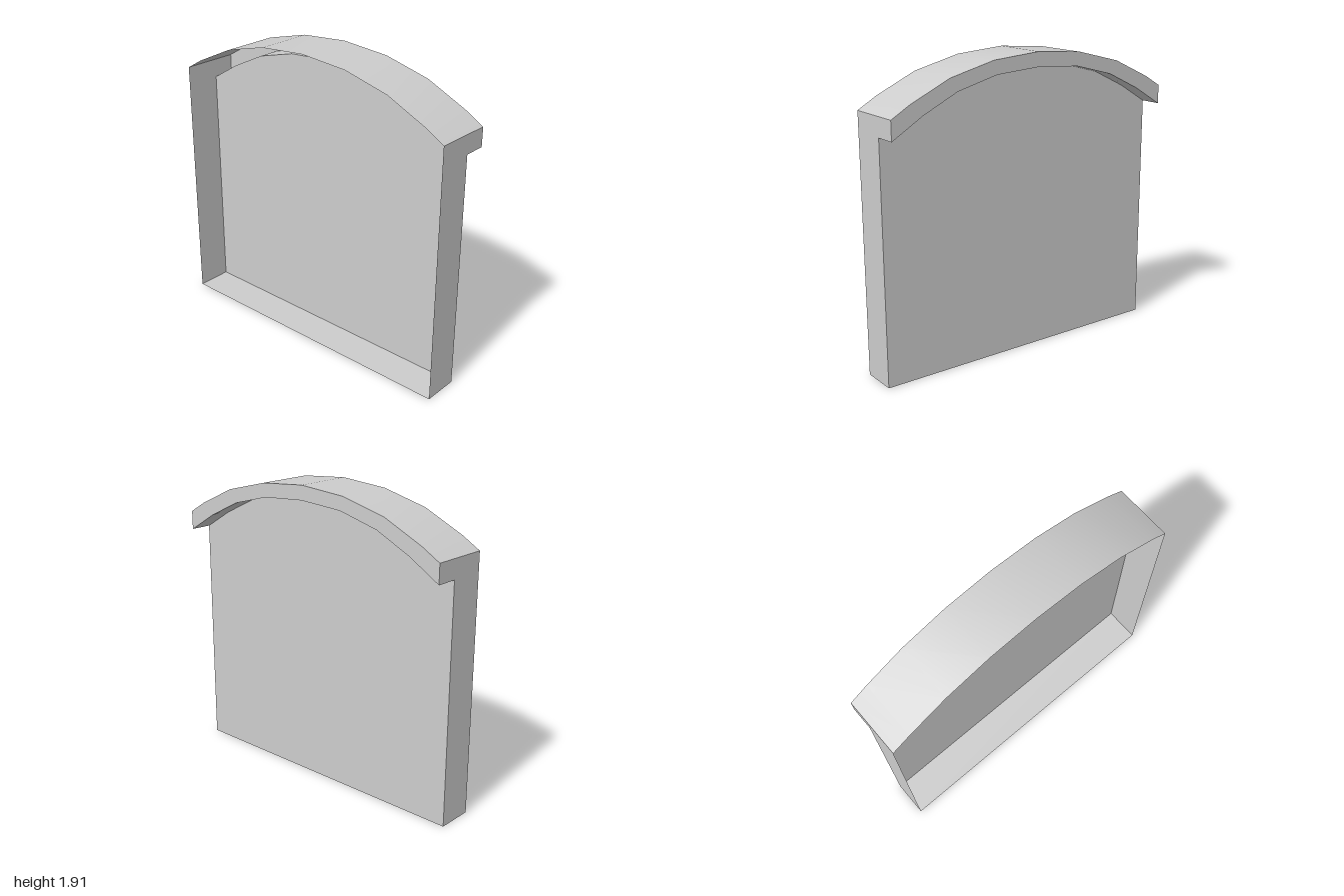
import * as THREE from 'three';

const LEFT = -0.185, PANEL = 0.045, RIM = 0.185;

// Half profiles [z, y] from the crown outwards, mirrored into full arches
const mirror = (half) => [
  ...half.slice(1).reverse().map(([z, y]) => [-z, y]),
  ...half,
];
const outerArch = mirror([[0, 1.91], [0.32, 1.885], [0.62, 1.81], [0.88, 1.69], [1, 1.62]]);
const innerArch = mirror([[0, 1.82], [0.3, 1.8], [0.57, 1.73], [0.8, 1.62], [1, 1.5]]);

// Smooth curved sheet following a [z, y] profile between two x positions
function archSheet(profile, x0, x1) {
  const geo = new THREE.PlaneGeometry(1, 1, 1, profile.length - 1);
  const pos = geo.attributes.position;
  profile.forEach(([z, y], i) => {
    pos.setXYZ(i * 2, x0, y, z);
    pos.setXYZ(i * 2 + 1, x1, y, z);
  });
  geo.computeVertexNormals();
  return geo;
}

const flat = (points) =>
  new THREE.ShapeGeometry(new THREE.Shape(points.map(([a, b]) => new THREE.Vector2(a, b))));

// Flat sheet in the z-y plane, facing +x
const sideSheet = (points, x) => flat(points).rotateY(Math.PI / 2).translate(x, 0, 0);

export function createModel() {
  const group = new THREE.Group();
  const grey = new THREE.MeshStandardMaterial({ color: 0xcccccc, side: THREE.DoubleSide });
  grey.name = 'plain grey';

  const add = (name, geo) => {
    const mesh = new THREE.Mesh(geo, grey);
    mesh.name = name;
    group.add(mesh);
    return mesh;
  };

  // Arched top and the underside of its overhang
  add('archedRoof', archSheet(outerArch, LEFT, RIM));
  add('overhangUnderside', archSheet([...innerArch].reverse(), PANEL, RIM));

  // Main panel and the curved rim in front of it
  add('panel', sideSheet([[-1, 0], [1, 0], ...[...innerArch].reverse()], PANEL));
  add('archRim', sideSheet([...innerArch, ...[...outerArch].reverse()], RIM));

  // Floor of the open-backed shell
  const floor = new THREE.PlaneGeometry(PANEL - LEFT, 2).rotateX(Math.PI / 2);
  add('floor', floor.translate((PANEL + LEFT) / 2, 0, 0));

  // End walls, including the step of the overhang
  const endPoints = [[LEFT, 0], [PANEL, 0], [PANEL, 1.5], [RIM, 1.5], [RIM, 1.62], [LEFT, 1.62]];
  const endWall = flat(endPoints).translate(0, 0, 1);
  add('frontEndWall', endWall);
  add('backEndWall', endWall).scale.z = -1;

  return group;
}
